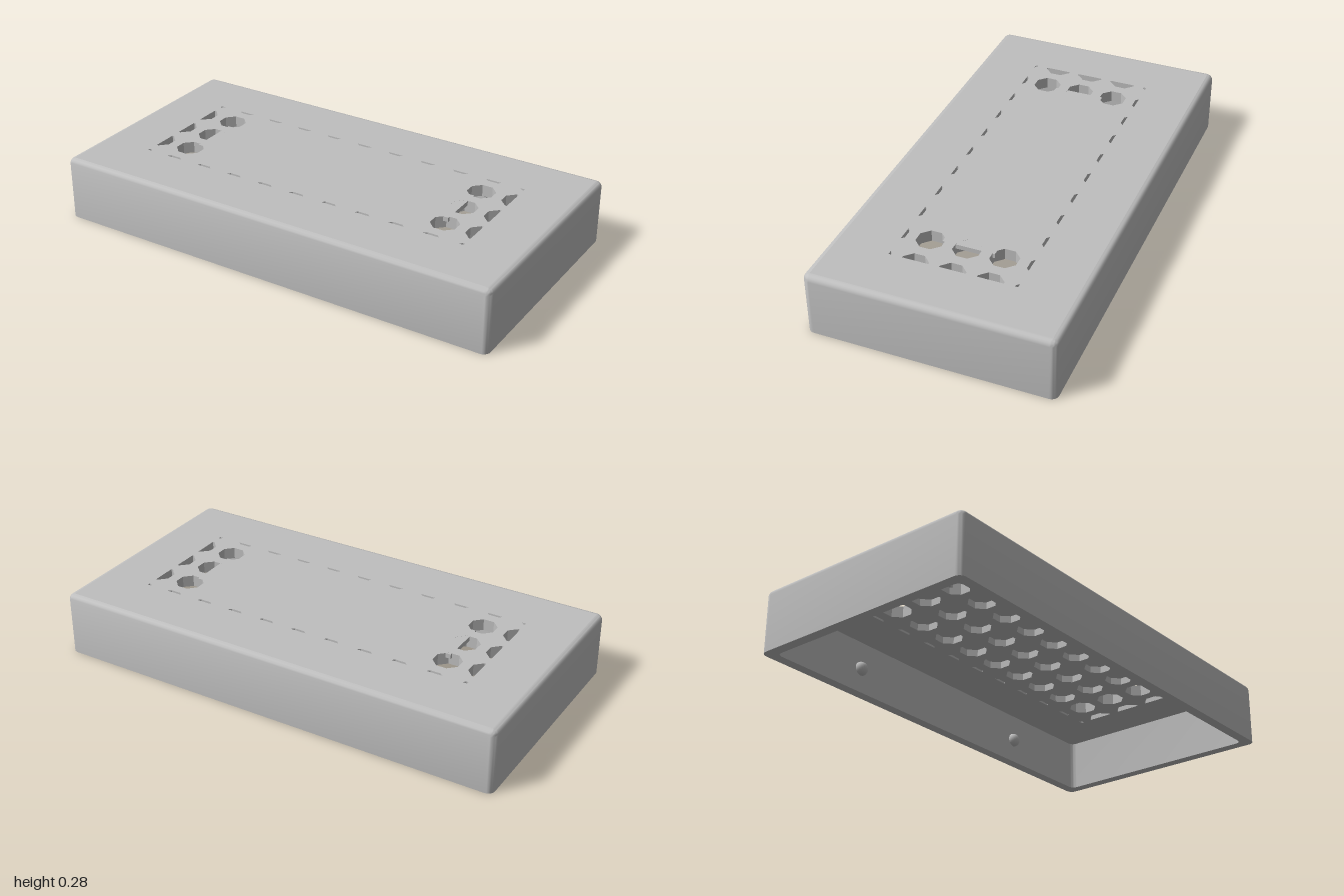
import * as THREE from 'three';
import { toCreasedNormals } from 'three/addons/utils/BufferGeometryUtils.js';

const HX = 1, HZ = 0.515, TOP = 0.275, WALL = 0.045, FILLET = 0.025, CORNER = 0.03;
const CEILING = 0.225, SKIN = 0.255;          // underside of the lid, underside of its outer skin
const PITCH = 0.155, APOTHEM = 0.055, VENT_X = 0.76, VENT_Z = 0.267;

// Rounded rectangle outline, counter-clockwise
function outline(inset, radius) {
  const pts = [], steps = 6;
  [[1, 1], [-1, 1], [-1, -1], [1, -1]].forEach(([sx, sy], q) => {
    for (let i = 0; i <= steps; i++) {
      const a = (q + i / steps) * Math.PI / 2;
      pts.push(new THREE.Vector2(
        sx * (HX - inset - radius) + radius * Math.cos(a),
        sy * (HZ - inset - radius) + radius * Math.sin(a)));
    }
  });
  return pts;
}

// Skin through a list of [inset, y, cornerRadius] rings
function ringSkin(rings) {
  const pos = [], index = [];
  let n = 0;
  rings.forEach(([inset, y, radius]) => {
    const pts = outline(inset, radius);
    n = pts.length;
    pts.forEach(p => pos.push(p.x, y, -p.y));
  });
  for (let j = 0; j < rings.length - 1; j++) {
    for (let i = 0; i < n; i++) {
      const k = (i + 1) % n, a = j * n + i, b = j * n + k;
      index.push(a, b, b + n, a, b + n, a + n);
    }
  }
  const geo = new THREE.BufferGeometry();
  geo.setAttribute('position', new THREE.Float32BufferAttribute(pos, 3));
  geo.setIndex(index);
  return toCreasedNormals(geo, 0.6);
}

// Keep the part of a polygon where sign * p[axis] <= limit
function clip(poly, axis, sign, limit) {
  const out = [];
  poly.forEach((p, i) => {
    const q = poly[(i + 1) % poly.length];
    const dp = sign * p[axis] - limit, dq = sign * q[axis] - limit;
    if (dp <= 0) out.push(p);
    if (dp * dq < 0) out.push(p.clone().lerp(q, dp / (dp - dq)));
  });
  return out;
}

// Octagonal vent opening, trimmed to the vent field
function ventHole(ix, iz) {
  const r = APOTHEM / Math.cos(Math.PI / 8);
  let poly = [];
  for (let i = 0; i < 8; i++) {
    const a = (i + 0.5) * Math.PI / 4;
    poly.push(new THREE.Vector2(ix * PITCH + r * Math.cos(a), iz * PITCH + r * Math.sin(a)));
  }
  for (const s of [-1, 1]) {
    poly = clip(poly, 'x', s, VENT_X);
    poly = clip(poly, 'y', s, VENT_Z);
  }
  return new THREE.Path(poly);
}

// Flat perforated plate between two heights
function plate(inset, radius, y0, y1, keep) {
  const shape = new THREE.Shape(outline(inset, radius));
  for (let ix = -5; ix <= 5; ix++) {
    for (let iz = -2; iz <= 2; iz++) if (keep(ix, iz)) shape.holes.push(ventHole(ix, iz));
  }
  return new THREE.ExtrudeGeometry(shape, { depth: y1 - y0, bevelEnabled: false })
    .rotateX(-Math.PI / 2).translate(0, y0, 0);
}

export function createModel() {
  const model = new THREE.Group();
  model.name = 'ventedCover';
  const gray = new THREE.MeshStandardMaterial({ color: 0xbfbfbf });
  gray.name = 'plainGray';
  const add = (name, geo) => {
    const mesh = new THREE.Mesh(geo, gray);
    mesh.name = name;
    model.add(mesh);
    return mesh;
  };

  // Side walls: inner face, bottom rim, outer face and rounded top edge
  const rings = [[WALL, CEILING, 0.025], [WALL, 0, 0.025], [0, 0, CORNER]];
  for (let i = 0; i <= 5; i++) {
    const a = i / 5 * Math.PI / 2, inset = FILLET * (1 - Math.cos(a));
    rings.push([inset, TOP - FILLET * (1 - Math.sin(a)), CORNER - inset]);
  }
  add('sideWalls', ringSkin(rings));

  // Lid: every vent opens below, only those around the middle reach the top
  add('innerVentPlate', plate(WALL, 0.025, CEILING, SKIN, () => true));
  add('topSkin', plate(FILLET, CORNER - FILLET, SKIN, TOP,
    (ix, iz) => Math.abs(ix) > 3 || Math.abs(iz) > 1));

  // Blanking panel that trims the vents beside it
  add('centerPanel', new THREE.BoxGeometry(1.22, TOP - SKIN - 0.0003, 0.22))
    .position.y = (TOP + SKIN) / 2 - 0.0001;

  // Snap bumps inside the long walls
  for (const x of [-0.5, 0.5]) {
    for (const s of [-1, 1]) {
      add('snapBump', new THREE.SphereGeometry(0.03, 20, 14))
        .position.set(x, 0.105, s * (HZ - WALL));
    }
  }
  return model;
}
